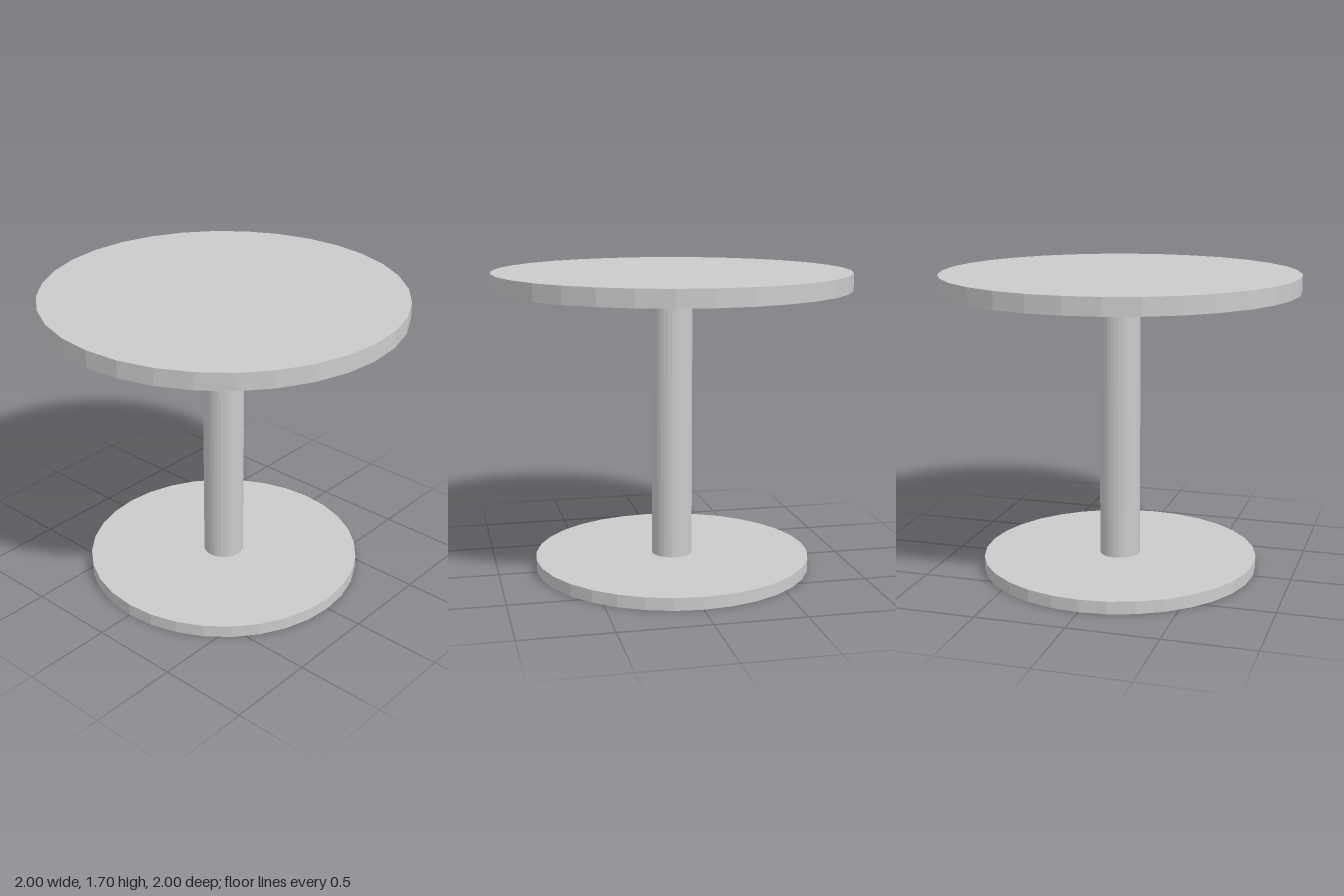
import * as THREE from 'three';

const SIDES = 32;

export function createModel() {
  const group = new THREE.Group();
  const material = new THREE.MeshStandardMaterial({ color: 0xcccccc, flatShading: true });

  // Upright faceted disc or column spanning two heights
  const addRound = (name, radius, bottom, top) => {
    const geometry = new THREE.CylinderGeometry(radius, radius, top - bottom, SIDES);
    const mesh = new THREE.Mesh(geometry, material);
    mesh.name = name;
    mesh.position.y = (bottom + top) / 2;
    group.add(mesh);
  };

  addRound('base', 0.785, 0, 0.07);
  addRound('post', 0.115, 0.07, 1.6);
  addRound('tabletop', 1, 1.6, 1.695);

  return group;
}
